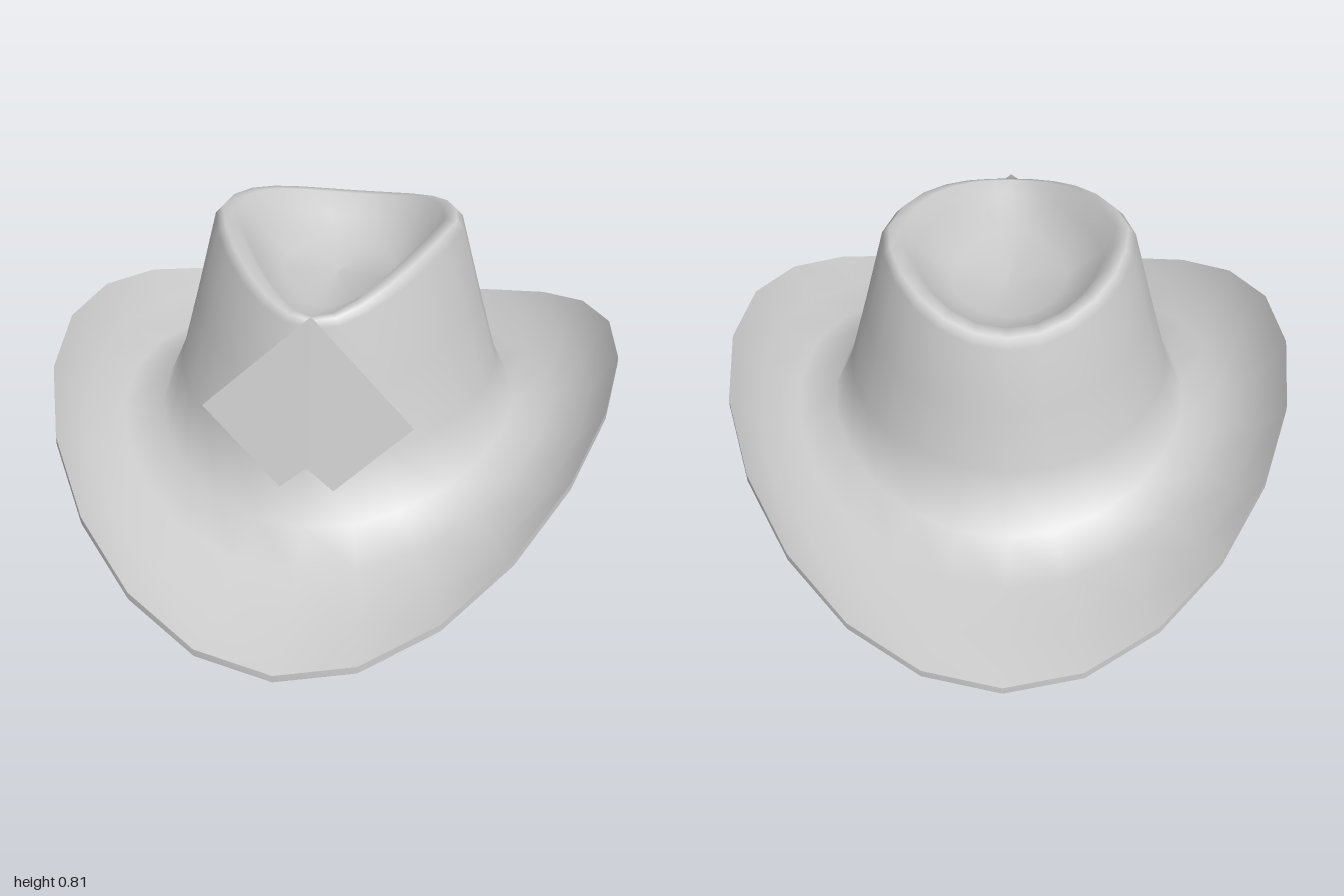
import * as THREE from 'three';

const SEGMENTS = 24;
const material = new THREE.MeshStandardMaterial({ color: 0xcccccc, side: THREE.DoubleSide });

// Cross-sections: [half width, front z, back z, y at sides, y at front, y at back, front pinch]
const BRIM = [
  [0.79, 1.0, 1.0, 0.43, 0.02, 0.1, 0],
  [0.72, 0.86, 0.87, 0.315, 0.05, 0.12, 0],
  [0.61, 0.71, 0.7, 0.268, 0.11, 0.14, 0],
  [0.505, 0.58, 0.54, 0.255, 0.17, 0.17, 0.02],
];
const CROWN = [
  [0.45, 0.515, 0.48, 0.38, 0.33, 0.35, 0.06],
  [0.4, 0.475, 0.44, 0.57, 0.51, 0.52, 0.12],
  [0.345, 0.435, 0.4, 0.79, 0.68, 0.695, 0.22],
  [0.325, 0.43, 0.38, 0.812, 0.7, 0.72, 0.27],
  [0.29, 0.415, 0.345, 0.812, 0.705, 0.725, 0.33],
  [0.255, 0.38, 0.29, 0.74, 0.685, 0.68, 0.36],
  [0.16, 0.24, 0.18, 0.655, 0.645, 0.64, 0.3],
  [0, 0, 0, 0.635, 0.635, 0.635, 0],
];

// Pinched oval whose height blends between its sides, front and back
function ringPoint([rx, zf, zb, ys, yf, yb, pinch], j) {
  const t = (j / SEGMENTS) * Math.PI * 2;
  const s = Math.sin(t), c = Math.cos(t);
  return [
    rx * s * (1 - pinch * Math.max(0, c)),
    ys * s * s + (c > 0 ? yf : yb) * c * c,
    c * (c > 0 ? zf : zb),
  ];
}

// Skin closed rings with shared vertices so that shading is smooth
function loft(name, rings) {
  const positions = [], index = [];
  rings.forEach((ring, i) => {
    for (let j = 0; j < SEGMENTS; j++) {
      positions.push(...ringPoint(ring, j));
      if (i === rings.length - 1) continue;
      const k = (j + 1) % SEGMENTS;
      const a = i * SEGMENTS + j, c = i * SEGMENTS + k;
      index.push(a, c, a + SEGMENTS, c, c + SEGMENTS, a + SEGMENTS);
    }
  });
  const geometry = new THREE.BufferGeometry();
  geometry.setAttribute('position', new THREE.Float32BufferAttribute(positions, 3));
  geometry.setIndex(index);
  geometry.computeVertexNormals();
  const mesh = new THREE.Mesh(geometry, material);
  mesh.name = name;
  return mesh;
}

// Lower and slightly shrink a ring to make the inner skin
const inset = (scale) => ([rx, zf, zb, ys, yf, yb, p]) =>
  [rx * scale, zf * scale, zb * scale, ys - 0.02, yf - 0.02, yb - 0.02, p];

export function createModel() {
  const hat = new THREE.Group();
  hat.name = 'hat';

  // Outer skin, lining and the narrow edge joining them
  const lining = [...BRIM.map(inset(1)), ...CROWN.map(inset(0.97))];
  hat.add(loft('crownAndBrim', [...BRIM, ...CROWN]));
  hat.add(loft('lining', [...lining].reverse()));
  hat.add(loft('brimEdge', [lining[0], BRIM[0]]));

  // Flat diamond plate leaning on the crown front, its lower tip sunk in
  const diamond = new THREE.Shape([
    new THREE.Vector2(0, 0.265),
    new THREE.Vector2(-0.28, 0.005),
    new THREE.Vector2(0, -0.27),
    new THREE.Vector2(0.277, -0.012),
  ]);
  const badge = new THREE.Mesh(new THREE.ShapeGeometry(diamond), material);
  badge.name = 'badge';
  badge.position.set(0, 0.455, 0.49);
  badge.rotation.x = -0.22;
  hat.add(badge);

  return hat;
}
